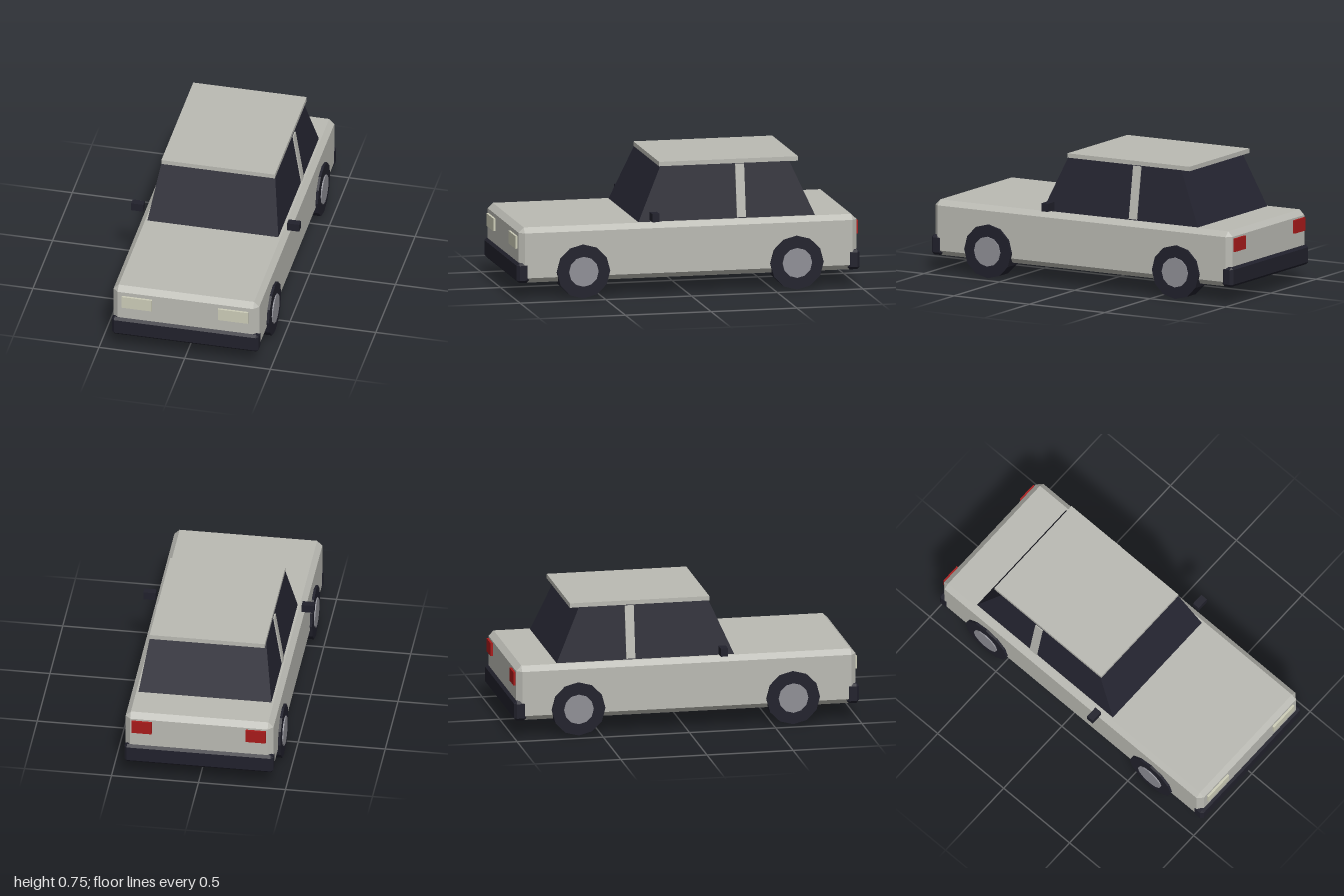
import * as THREE from 'three';
import { ConvexGeometry } from 'three/addons/geometries/ConvexGeometry.js';

const mat = (name, color) => {
  const m = new THREE.MeshStandardMaterial({ color });
  m.name = name;
  return m;
};

// Box whose twelve edges are cut at 45 degrees
function chamferBox(w, h, d, b) {
  const pts = [];
  for (const x of [-1, 1]) for (const y of [-1, 1]) for (const z of [-1, 1]) {
    const X = w / 2, Y = h / 2, Z = d / 2;
    pts.push(
      new THREE.Vector3(x * X, y * (Y - b), z * (Z - b)),
      new THREE.Vector3(x * (X - b), y * Y, z * (Z - b)),
      new THREE.Vector3(x * (X - b), y * (Y - b), z * Z)
    );
  }
  return new ConvexGeometry(pts);
}

// Tapered block between two level rectangles { y, x, front, back }
function taperedBlock(bottom, top) {
  const pts = [];
  for (const r of [bottom, top])
    for (const s of [-1, 1])
      for (const z of [r.front, r.back]) pts.push(new THREE.Vector3(s * r.x, r.y, z));
  return new ConvexGeometry(pts);
}

// Faceted cylinder lying along x
function disc(radius, width, sides) {
  const g = new THREE.CylinderGeometry(radius, radius, width, sides).rotateZ(Math.PI / 2).toNonIndexed();
  g.computeVertexNormals();
  return g;
}

export function createModel() {
  const car = new THREE.Group();
  car.name = 'car';
  const paint = mat('greyPaint', 0xbabab3);
  const glass = mat('darkGlass', 0x252531);
  const trim = mat('blackTrim', 0x21212c);
  const hubMetal = mat('hubMetal', 0x8f8f96);
  const lamp = mat('headlightCream', 0xcdcdb8);
  const red = mat('taillightRed', 0xa81a1a);

  const add = (name, geometry, material, x, y, z) => {
    const mesh = new THREE.Mesh(geometry, material);
    mesh.name = name;
    mesh.position.set(x, y, z);
    car.add(mesh);
    return mesh;
  };
  const box = (w, h, d) => new THREE.BoxGeometry(w, h, d);

  // Body, cabin glass and roof
  add('body', chamferBox(0.85, 0.32, 1.97, 0.03), paint, 0, 0.257, 0);
  add('cabinGlass', taperedBlock(
    { y: 0.41, x: 0.383, front: 0.286, back: -0.75 },
    { y: 0.726, x: 0.332, front: 0.145, back: -0.608 }
  ), glass, 0, 0, 0);
  add('roof', box(0.662, 0.026, 0.81), paint, 0, 0.738, -0.255);

  // Bumpers
  add('frontBumper', chamferBox(0.856, 0.115, 0.072, 0.015), trim, 0, 0.157, 0.964);
  add('rearBumper', chamferBox(0.856, 0.115, 0.072, 0.015), trim, 0, 0.157, -0.964);

  for (const [side, s] of [['left', 1], ['right', -1]]) {
    // Lights
    add(side + 'Headlight', box(0.176, 0.073, 0.03), lamp, s * 0.281, 0.327, 0.983);
    add(side + 'Taillight', box(0.115, 0.076, 0.03), red, s * 0.328, 0.338, -0.983);

    // Door pillar leaning in with the glass
    const pillar = add(side + 'Pillar', box(0.02, 0.305, 0.052), paint, s * 0.354, 0.572, -0.317);
    pillar.rotation.z = s * Math.atan2(0.051, 0.316);

    // Wing mirror
    add(side + 'Mirror', box(0.071, 0.047, 0.042), trim, s * 0.455, 0.457, 0.205);

    // Wheels
    for (const [end, z] of [['Front', 0.615], ['Rear', -0.63]]) {
      add(side + end + 'Tyre', disc(0.155, 0.098, 12), trim, s * 0.39, 0.155, z);
      add(side + end + 'Hub', disc(0.086, 0.1, 12), hubMetal, s * 0.396, 0.155, z);
    }
  }
  return car;
}
